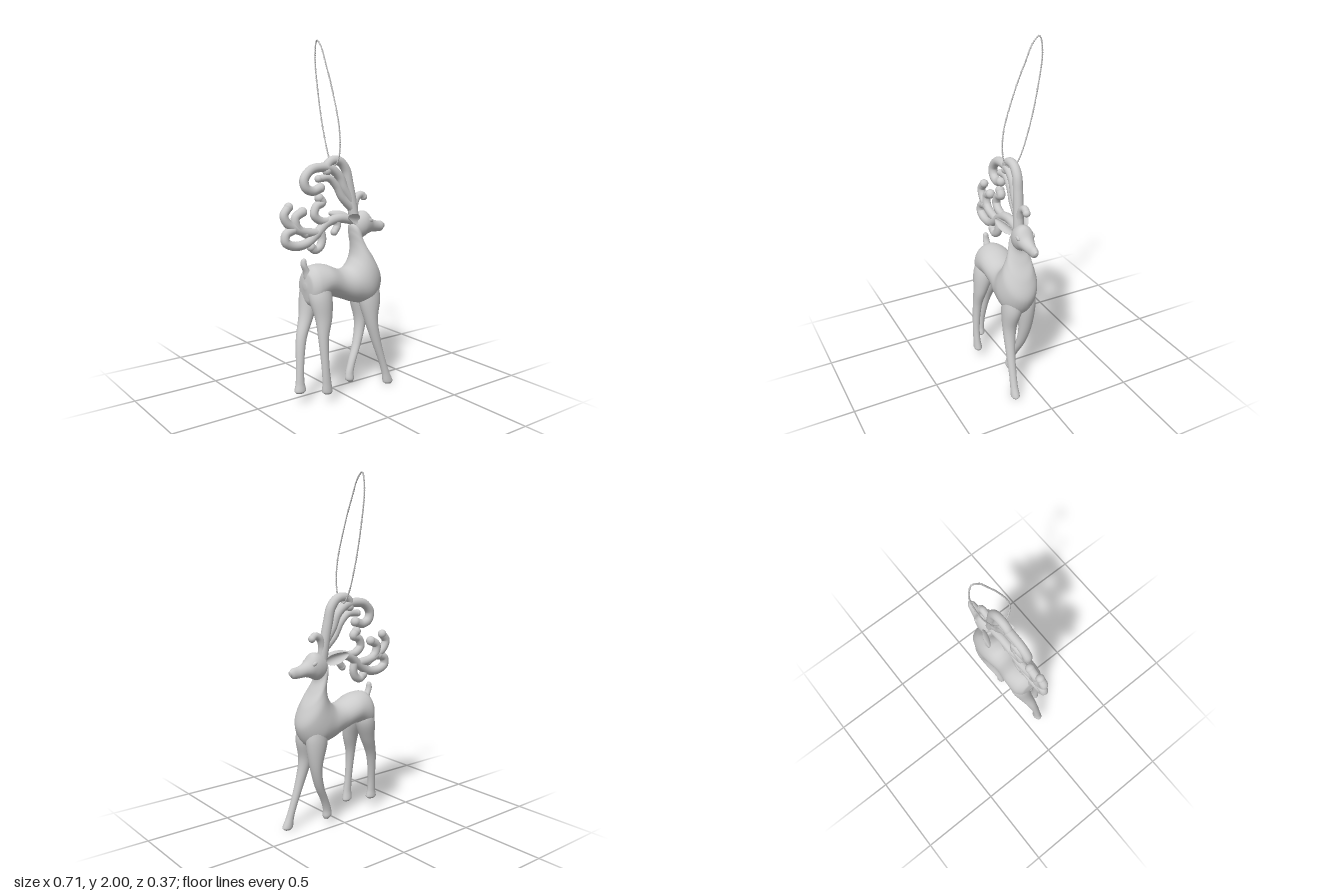
import * as THREE from 'three';

const grey = new THREE.MeshStandardMaterial({ color: 0xcccccc });

function add(parent, name, geometry) {
  const mesh = new THREE.Mesh(geometry, grey);
  mesh.name = name;
  parent.add(mesh);
  return mesh;
}

// Smooth closed loft. Each section: [ax, ay, bx, by, zCentre, halfWidth],
// where a and b are opposite edge points in the side profile.
function loft(sections, steps = 8, sides = 28) {
  const spline = f => new THREE.CatmullRomCurve3(sections.map(f), false, 'centripetal');
  const mid = spline(s => new THREE.Vector3((s[0] + s[2]) / 2, (s[1] + s[3]) / 2, s[4]));
  const half = sections.map(s => new THREE.Vector3((s[0] - s[2]) / 2, (s[1] - s[3]) / 2, s[5]));
  const n = (sections.length - 1) * steps;
  const pos = [], idx = [];
  for (let i = 0; i <= n; i++) {
    const t = i / n, c = mid.getPoint(t);
    const k = Math.min(Math.floor(i / steps), sections.length - 2), f = i / steps - k;
    const at = j => half[Math.max(0, Math.min(half.length - 1, j))];
    const h = new THREE.Vector3();
    for (const ax of ['x', 'y', 'z']) {
      const [p, q, r, s] = [at(k - 1)[ax], at(k)[ax], at(k + 1)[ax], at(k + 2)[ax]];
      h[ax] = q + 0.5 * f * (r - p + f * (2 * p - 5 * q + 4 * r - s + f * (3 * (q - r) + s - p)));
    }
    for (let j = 0; j < sides; j++) {
      const a = j / sides * Math.PI * 2;
      pos.push(c.x + h.x * Math.cos(a), c.y + h.y * Math.cos(a), c.z + h.z * Math.sin(a));
    }
  }
  for (let i = 0; i < n; i++) for (let j = 0; j < sides; j++) {
    const a = i * sides + j, b = i * sides + (j + 1) % sides;
    idx.push(a, b, a + sides, b, b + sides, a + sides);
  }
  // End caps
  for (const [row, t] of [[0, 0], [n, 1]]) {
    const c = mid.getPoint(t), ci = pos.length / 3;
    pos.push(c.x, c.y, c.z);
    for (let j = 0; j < sides; j++) {
      const a = row * sides + j, b = row * sides + (j + 1) % sides;
      if (row) idx.push(a, b, ci); else idx.push(b, a, ci);
    }
  }
  // Turn the faces outward whichever way the sections run
  const v = i => new THREE.Vector3().fromArray(pos, i * 3);
  let volume = 0;
  for (let i = 0; i < idx.length; i += 3) volume += v(idx[i]).dot(v(idx[i + 1]).cross(v(idx[i + 2])));
  if (volume < 0) idx.reverse();
  const g = new THREE.BufferGeometry();
  g.setAttribute('position', new THREE.Float32BufferAttribute(pos, 3));
  g.setIndex(idx);
  g.computeVertexNormals();
  return g;
}

// Round tapering branch with ball ends, lying in the tilted antler plane
function branch(parent, name, points, r0 = 0.025, r1 = 0.024) {
  const group = new THREE.Group();
  group.name = name;
  const curve = new THREE.CatmullRomCurve3(
    points.map(([x, y]) => new THREE.Vector3(x, y, 0.025 - 0.06 * (y - 1))), false, 'centripetal');
  const n = points.length * 8, sides = 14;
  const g = new THREE.TubeGeometry(curve, n, 1, sides);
  const p = g.attributes.position, v = new THREE.Vector3();
  for (let i = 0; i <= n; i++) {
    const c = curve.getPointAt(i / n), r = THREE.MathUtils.lerp(r0, r1, i / n);
    for (let j = 0; j <= sides; j++) {
      const k = i * (sides + 1) + j;
      v.fromBufferAttribute(p, k).sub(c).multiplyScalar(r).add(c);
      p.setXYZ(k, v.x, v.y, v.z);
    }
  }
  add(group, name + 'Stem', g);
  [[points[0], r0], [points.at(-1), r1 * 1.06]].forEach(([[x, y], r]) =>
    add(group, name + 'End', new THREE.SphereGeometry(r, 16, 12)).position.set(x, y, 0.025 - 0.06 * (y - 1)));
  parent.add(group);
}

export function createModel() {
  const model = new THREE.Group();
  model.name = 'reindeerOrnament';

  // Torso flowing up into the neck
  add(model, 'bodyAndNeck', loft([
    [-0.225, 0.67, -0.225, 0.64, 0.055, 0.015],
    [-0.215, 0.73, -0.215, 0.57, 0.055, 0.07],
    [-0.17, 0.766, -0.185, 0.54, 0.05, 0.1],
    [-0.09, 0.762, -0.1, 0.585, 0.048, 0.105],
    [0, 0.725, 0, 0.557, 0.052, 0.093],
    [0.06, 0.727, 0.11, 0.515, 0.055, 0.104],
    [0.098, 0.77, 0.225, 0.5, 0.056, 0.113],
    [0.114, 0.82, 0.292, 0.61, 0.05, 0.1],
    [0.114, 0.87, 0.265, 0.72, 0.042, 0.076],
    [0.108, 0.92, 0.212, 0.805, 0.035, 0.06],
    [0.11, 0.965, 0.182, 0.87, 0.031, 0.05],
    [0.14, 0.985, 0.19, 0.91, 0.03, 0.035],
  ]));

  // Head and muzzle
  add(model, 'head', loft([
    [0.11, 0.965, 0.115, 0.935, 0.028, 0.015],
    [0.13, 1.005, 0.15, 0.885, 0.028, 0.046],
    [0.175, 1.033, 0.188, 0.882, 0.028, 0.057],
    [0.215, 1.033, 0.225, 0.898, 0.028, 0.053],
    [0.255, 0.99, 0.26, 0.907, 0.03, 0.039],
    [0.3, 0.97, 0.305, 0.905, 0.031, 0.028],
    [0.338, 0.964, 0.335, 0.907, 0.033, 0.022],
    [0.357, 0.948, 0.354, 0.925, 0.033, 0.01],
  ]));

  // Ears and eyes, one on each side of the head
  for (const s of [1, -1]) {
    const ear = new THREE.SphereGeometry(1, 28, 20);
    const p = ear.attributes.position;
    for (let i = 0; i < p.count; i++) {
      const x = p.getX(i), y = p.getY(i), z = p.getZ(i);
      const cup = z * s > 0 ? -0.6 : 1;
      p.setXYZ(i, x * 0.068, y * 0.03 * (1 + 0.25 * x), z * 0.02 * cup + s * 0.012 * y * y);
    }
    ear.computeVertexNormals();
    const earMesh = add(model, s > 0 ? 'leftEar' : 'rightEar', ear);
    earMesh.position.set(0.09, 1.005, 0.021 + s * 0.07);
    earMesh.rotation.set(0, s * 0.38, -0.32);
    const eye = add(model, s > 0 ? 'leftEye' : 'rightEye', new THREE.SphereGeometry(1, 16, 12));
    eye.scale.set(0.018, 0.011, 0.008);
    eye.position.set(0.222, 0.983, 0.028 + s * 0.047);
    eye.rotation.z = -0.4;
  }

  // Upturned tail
  add(model, 'tail', loft([
    [-0.22, 0.69, -0.16, 0.71, 0.05, 0.03],
    [-0.228, 0.735, -0.192, 0.745, 0.05, 0.022],
    [-0.244, 0.775, -0.208, 0.772, 0.05, 0.019],
    [-0.24, 0.805, -0.212, 0.797, 0.05, 0.014],
    [-0.226, 0.813, -0.216, 0.808, 0.05, 0.005],
  ], 6, 18));

  // Legs: [rear x, front x, y, z, half width] from hip to hoof
  const legs = {
    hindLegLeft: [[-0.2, -0.11, 0.71, 0.08, 0.045], [-0.222, -0.085, 0.6, 0.1, 0.062],
      [-0.2, -0.1, 0.48, 0.128, 0.042], [-0.193, -0.133, 0.37, 0.145, 0.028], [-0.183, -0.137, 0.22, 0.158, 0.021],
      [-0.178, -0.125, 0.12, 0.16, 0.021], [-0.178, -0.115, 0.068, 0.157, 0.025], [-0.165, -0.12, 0.056, 0.157, 0.018]],
    hindLegRight: [[-0.2, -0.11, 0.71, 0.02, 0.045], [-0.22, -0.1, 0.6, 0.01, 0.06],
      [-0.237, -0.15, 0.48, 0.022, 0.043], [-0.274, -0.212, 0.36, 0.045, 0.029], [-0.291, -0.245, 0.21, 0.068, 0.022],
      [-0.3, -0.248, 0.12, 0.077, 0.022], [-0.31, -0.24, 0.078, 0.08, 0.026], [-0.3, -0.25, 0.066, 0.08, 0.018]],
    foreLegLeft: [[0.14, 0.25, 0.64, 0.09, 0.055], [0.13, 0.265, 0.53, 0.098, 0.058],
      [0.158, 0.24, 0.41, 0.113, 0.041], [0.2, 0.258, 0.28, 0.124, 0.028], [0.248, 0.293, 0.15, 0.131, 0.022],
      [0.272, 0.32, 0.07, 0.135, 0.022], [0.28, 0.346, 0.014, 0.136, 0.025], [0.295, 0.336, 0.001, 0.136, 0.018]],
    foreLegRight: [[0.14, 0.25, 0.64, 0.01, 0.05], [0.13, 0.26, 0.53, 0.008, 0.054],
      [0.163, 0.233, 0.38, 0.012, 0.039], [0.14, 0.193, 0.26, 0.025, 0.029], [0.088, 0.135, 0.15, 0.045, 0.023],
      [0.064, 0.115, 0.09, 0.053, 0.022], [0.06, 0.115, 0.055, 0.056, 0.024], [0.08, 0.108, 0.036, 0.056, 0.015]],
  };
  for (const [name, rows] of Object.entries(legs))
    add(model, name, loft(rows.map(([a, b, y, z, w]) => [a, y, b, y, z, w]), 6, 22));

  // Scrolling antlers
  const antlers = new THREE.Group();
  antlers.name = 'antlers';
  model.add(antlers);
  branch(antlers, 'mainAntler', [[0.14, 0.99], [0.125, 1.1], [0.108, 1.2], [0.09, 1.28], [0.05, 1.325],
    [0, 1.332], [-0.035, 1.31], [-0.04, 1.275]], 0.03, 0.025);
  branch(antlers, 'upperScroll', [[0.12, 1.1], [0.075, 1.17], [0.045, 1.24], [-0.01, 1.285], [-0.08, 1.297],
    [-0.15, 1.285], [-0.195, 1.235], [-0.185, 1.19], [-0.14, 1.17], [-0.09, 1.185]], 0.026, 0.026);
  branch(antlers, 'innerScroll', [[0.12, 1.06], [0.06, 1.12], [0.02, 1.19], [-0.03, 1.235], [-0.1, 1.235]], 0.024, 0.02);
  branch(antlers, 'middleCurl', [[-0.03, 0.995], [-0.1, 1.005], [-0.137, 1.04], [-0.12, 1.085], [-0.08, 1.105], [-0.1, 1.13]], 0.022, 0.025);
  branch(antlers, 'lowerScroll', [[0.14, 0.985], [0.03, 1.005], [-0.06, 0.985], [-0.13, 0.93], [-0.2, 0.887],
    [-0.28, 0.882], [-0.33, 0.91], [-0.325, 0.95], [-0.28, 0.97]], 0.027, 0.025);
  branch(antlers, 'rearTip', [[-0.13, 0.94], [-0.2, 0.95], [-0.265, 0.975], [-0.315, 1.01], [-0.333, 1.055], [-0.302, 1.095]]);
  branch(antlers, 'rearCurl', [[-0.2, 0.94], [-0.255, 0.985], [-0.26, 1.035], [-0.215, 1.062]], 0.023, 0.026);
  branch(antlers, 'hangingCurl', [[-0.1, 0.96], [-0.09, 0.9], [-0.108, 0.86], [-0.14, 0.846], [-0.165, 0.865]], 0.023, 0.024);
  branch(antlers, 'smallDrop', [[0.01, 1], [0.018, 0.965], [-0.005, 0.932]], 0.022, 0.02);
  branch(antlers, 'browTine', [[0.145, 1.01], [0.145, 1.07], [0.165, 1.115], [0.195, 1.13], [0.215, 1.115]], 0.023, 0.02);

  // Hanging cord of two twisted strands
  const loop = new THREE.CatmullRomCurve3([[2, -0.16], [1.92, -0.178], [1.72, -0.152], [1.5, -0.1], [1.35, -0.045],
    [1.305, -0.01], [1.325, 0.035], [1.39, 0.056], [1.52, 0.05], [1.74, -0.02], [1.88, -0.08], [1.965, -0.12]]
    .map(([y, z]) => new THREE.Vector3(0.013, y - 0.004, z)), true, 'centripetal');
  for (const phase of [0, Math.PI]) {
    const points = [];
    for (let i = 0; i < 640; i++) {
      const t = i / 640, a = t * Math.PI * 2 * 60 + phase;
      const d = loop.getTangentAt(t), c = loop.getPointAt(t);
      c.x += Math.cos(a) * 0.0022;
      c.y -= d.z * Math.sin(a) * 0.0022;
      c.z += d.y * Math.sin(a) * 0.0022;
      points.push(c);
    }
    add(model, 'cordStrand', new THREE.TubeGeometry(new THREE.CatmullRomCurve3(points, true), 640, 0.0027, 6, true));
  }
  return model;
}
